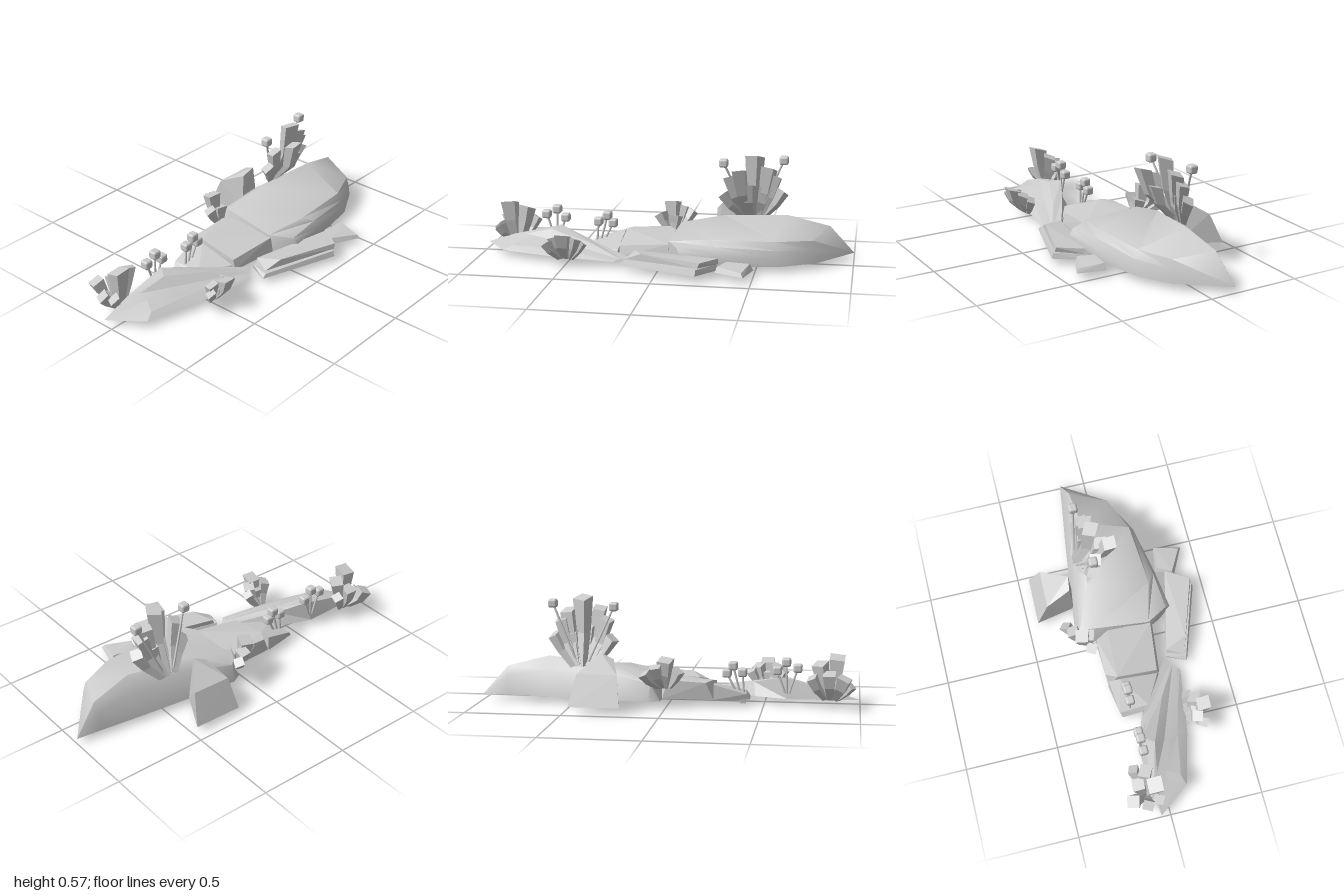
import * as THREE from 'three';
import { toCreasedNormals } from 'three/addons/utils/BufferGeometryUtils.js';
import { ConvexGeometry } from 'three/addons/geometries/ConvexGeometry.js';
import { RoundedBoxGeometry } from 'three/addons/geometries/RoundedBoxGeometry.js';

const V = (p) => new THREE.Vector3(...p);
const smooth = new THREE.MeshStandardMaterial({ color: 0xcccccc, side: THREE.DoubleSide });
const flat = new THREE.MeshStandardMaterial({ color: 0xcccccc, side: THREE.DoubleSide, flatShading: true });

function add(group, name, geometry, material = flat) {
  const mesh = new THREE.Mesh(geometry, material);
  mesh.name = name;
  group.add(mesh);
  return mesh;
}

// Open shell stretched over rails that run from back to front, each along +x.
function shell(rails, crease) {
  const n = rails[0].length, index = [];
  for (let i = 0; i < rails.length - 1; i++) {
    for (let j = 0; j < n - 1; j++) {
      const a = i * n + j, b = a + n;
      index.push(a, b, b + 1, a, b + 1, a + 1);
    }
  }
  const g = new THREE.BufferGeometry();
  g.setAttribute('position', new THREE.Float32BufferAttribute(rails.flat(2), 3));
  g.setIndex(index);
  return toCreasedNormals(g, crease);
}

// Faceted block around a few corners, left open underneath.
function block(points) {
  const g = new ConvexGeometry(points.map(V));
  const pos = g.attributes.position.array, normal = g.attributes.normal.array, kept = [];
  for (let i = 0; i < pos.length; i += 9) {
    if (normal[i + 1] > -0.95) kept.push(...pos.slice(i, i + 9));
  }
  const open = new THREE.BufferGeometry();
  open.setAttribute('position', new THREE.Float32BufferAttribute(kept, 3));
  open.computeVertexNormals();
  return open;
}

// Four-sided crystal that widens upward, bends toward its tip and is cut high at the front.
function crystal(base, tip, w, yaw) {
  const g = new THREE.CylinderGeometry(w, w * 0.5, 1, 4, 2);
  g.rotateY(yaw);
  const a = V(base), b = V(tip), d = b.clone().sub(a);
  const mid = new THREE.Vector3(a.x + d.x * 0.6, a.y + d.y * 0.5, a.z + d.z * 0.75);
  const cut = new THREE.Vector3(d.x, d.y, -0.3 * d.y).normalize();
  const turn = new THREE.Quaternion().setFromUnitVectors(new THREE.Vector3(0, 1, 0), cut);
  const pos = g.attributes.position, p = new THREE.Vector3();
  for (let i = 0; i < pos.count; i++) {
    p.fromBufferAttribute(pos, i);
    const centre = p.y < -0.25 ? a : p.y < 0.25 ? mid : b;
    p.y = 0;
    p.applyQuaternion(turn).add(centre);
    pos.setXYZ(i, p.x, p.y, p.z);
  }
  return g;
}

// Fan of crystals: each tip is [x, y, z, half diagonal].
function cluster(root, name, base, tips) {
  const group = new THREE.Group();
  group.name = name;
  tips.forEach(([x, y, z, w], i) => {
    const foot = [base[0] + (x - base[0]) * 0.3, base[1], base[2] + (z - base[2]) * 0.15];
    add(group, 'crystal', crystal(foot, [x, y, z], w, 0.3 + (i % 3) * 0.22));
  });
  root.add(group);
}

// Thin stalks ending in rounded cube buds.
function buds(root, name, base, tops) {
  const group = new THREE.Group();
  group.name = name;
  const cap = new RoundedBoxGeometry(0.048, 0.046, 0.048, 3, 0.012);
  for (const t of tops) {
    const foot = V([base[0] + (t[0] - base[0]) * 0.2, base[1], base[2]]);
    add(group, 'stalk', new THREE.TubeGeometry(new THREE.LineCurve3(foot, V(t)), 1, 0.006, 6), smooth);
    add(group, 'bud', cap, smooth).position.set(...t);
  }
  root.add(group);
}

export function createModel() {
  const root = new THREE.Group();
  root.name = 'crystalReef';

  // Large domed rock
  add(root, 'mainRock', shell([
    [[0.03, 0.03, -0.23], [0.09, 0.03, -0.26], [0.3, 0.03, -0.235], [0.65, 0.03, -0.19], [0.87, 0.03, -0.157], [1, 0.03, -0.14]],
    [[0.03, 0.03, -0.2], [0.08, 0.12, -0.235], [0.3, 0.17, -0.2], [0.65, 0.17, -0.15], [0.87, 0.13, -0.14], [1, 0.03, -0.14]],
    [[0.03, 0.03, -0.15], [0.06, 0.155, -0.165], [0.3, 0.21, -0.14], [0.65, 0.235, -0.09], [0.87, 0.18, -0.11], [1, 0.03, -0.14]],
    [[0.03, 0.03, 0.14], [0.035, 0.125, 0.14], [0.25, 0.157, 0.195], [0.6, 0.153, 0.17], [0.79, 0.148, 0.09], [1, 0.03, -0.14]],
    [[0.05, 0.03, 0.17], [0.1, 0.12, 0.255], [0.3, 0.13, 0.235], [0.61, 0.11, 0.19], [0.8, 0.1, 0.095], [1, 0.03, -0.14]],
    [[0.07, 0.03, 0.21], [0.11, 0.09, 0.28], [0.34, 0.08, 0.25], [0.62, 0.07, 0.198], [0.805, 0.06, 0.1], [1, 0.03, -0.14]],
    [[0.09, 0.03, 0.23], [0.13, 0.03, 0.265], [0.35, 0.03, 0.25], [0.63, 0.03, 0.2], [0.81, 0.03, 0.1], [1, 0.03, -0.14]],
  ], 0.8), smooth);

  // Long low rock
  add(root, 'lowRock', shell([
    [[-1, 0.03, -0.05], [-0.88, 0.03, -0.07], [-0.62, 0.03, -0.08], [-0.45, 0.03, -0.02], [-0.16, 0.03, 0.18]],
    [[-1, 0.03, -0.05], [-0.85, 0.08, -0.055], [-0.59, 0.14, -0.055], [-0.44, 0.1, 0.02], [-0.16, 0.035, 0.18]],
    [[-1, 0.03, -0.05], [-0.78, 0.09, -0.02], [-0.63, 0.13, 0.005], [-0.38, 0.085, 0.11], [-0.2, 0.035, 0.205]],
    [[-1, 0.03, -0.05], [-0.78, 0.075, 0.03], [-0.62, 0.085, 0.06], [-0.38, 0.06, 0.15], [-0.21, 0.035, 0.215]],
    [[-1, 0.03, -0.05], [-0.82, 0.055, 0.1], [-0.6, 0.06, 0.14], [-0.42, 0.05, 0.19], [-0.23, 0.035, 0.235]],
    [[-1, 0.03, -0.05], [-0.87, 0.03, 0.12], [-0.6, 0.03, 0.195], [-0.42, 0.03, 0.225], [-0.24, 0.03, 0.25]],
  ], 0.2), smooth);

  // Bridge of two stepped blocks
  add(root, 'middleBlock', block([
    [-0.23, 0.125, -0.1], [-0.2, 0.12, -0.16], [0, 0.13, -0.16], [0.04, 0.13, -0.09], [0.04, 0.11, 0.15], [-0.23, 0.085, 0.12],
    [-0.24, 0.03, -0.15], [0.03, 0.03, -0.16], [0.04, 0.03, 0.165], [-0.23, 0.03, 0.135],
  ]));
  add(root, 'lowBlock', block([
    [-0.41, 0.06, -0.13], [-0.24, 0.11, -0.15], [-0.24, 0.11, -0.09], [-0.24, 0.06, 0.12], [-0.4, 0.055, 0.03],
    [-0.43, 0.03, -0.12], [-0.24, 0.03, -0.155], [-0.24, 0.03, 0.135], [-0.42, 0.03, 0.04],
  ]));

  // Layered slabs in front
  add(root, 'upperSlab', block([
    [-0.13, 0.085, 0.2], [0.32, 0.09, 0.305], [0.24, 0.095, 0.43], [-0.08, 0.1, 0.32],
    [-0.14, 0.06, 0.2], [0.32, 0.062, 0.31], [0.23, 0.068, 0.432], [-0.17, 0.06, 0.29],
  ]));
  add(root, 'lowerSlab', block([
    [-0.16, 0.055, 0.2], [0.31, 0.06, 0.31], [0.22, 0.06, 0.435], [-0.18, 0.05, 0.3],
    [-0.15, 0.03, 0.19], [0.32, 0.03, 0.31], [0.22, 0.03, 0.445], [-0.2, 0.03, 0.3],
  ]));
  add(root, 'smallSlab', block([
    [0.32, 0.06, 0.35], [0.36, 0.065, 0.27], [0.48, 0.065, 0.29], [0.45, 0.05, 0.42],
    [0.31, 0.03, 0.36], [0.35, 0.03, 0.26], [0.5, 0.03, 0.285], [0.46, 0.03, 0.435],
  ]));

  // Upright wedge behind the dome
  add(root, 'backRock', block([
    [0.27, 0.25, -0.245], [0.34, 0.28, -0.235], [0.23, 0.19, -0.38], [0.44, 0.19, -0.375],
    [0.21, 0.03, -0.445], [0.475, 0.03, -0.44], [0.25, 0.03, -0.235], [0.36, 0.03, -0.22],
  ]));

  // Crystal fans
  cluster(root, 'tallCrystals', [0.45, 0.2, -0.18], [
    [0.305, 0.34, -0.1, 0.042], [0.335, 0.435, -0.08, 0.044], [0.39, 0.485, 0.01, 0.048], [0.465, 0.55, -0.075, 0.054],
    [0.54, 0.485, -0.09, 0.05], [0.575, 0.44, -0.105, 0.044], [0.61, 0.36, -0.12, 0.042], [0.44, 0.4, -0.03, 0.046], [0.52, 0.37, -0.11, 0.044],
  ]);
  cluster(root, 'middleCrystals', [0.01, 0.1, -0.19], [
    [-0.06, 0.19, -0.2, 0.04], [0, 0.25, -0.24, 0.05], [0.05, 0.22, -0.28, 0.042], [0.1, 0.19, -0.31, 0.036], [0.02, 0.18, -0.2, 0.044],
  ]);
  cluster(root, 'endCrystals', [-0.85, 0.04, -0.09], [
    [-0.95, 0.12, -0.11, 0.04], [-0.92, 0.165, -0.185, 0.046], [-0.88, 0.255, -0.06, 0.056], [-0.79, 0.225, -0.09, 0.048],
    [-0.75, 0.16, -0.145, 0.036], [-0.84, 0.18, -0.14, 0.046], [-0.93, 0.12, -0.05, 0.04],
  ]);
  cluster(root, 'frontCrystals', [-0.5, 0.03, 0.22], [
    [-0.585, 0.125, 0.285, 0.034], [-0.55, 0.15, 0.26, 0.04], [-0.495, 0.173, 0.305, 0.05], [-0.445, 0.15, 0.265, 0.042],
    [-0.41, 0.125, 0.235, 0.034], [-0.5, 0.12, 0.27, 0.042],
  ]);

  // Stalked buds
  buds(root, 'tallBuds', [0.45, 0.22, -0.17], [[0.295, 0.505, -0.1], [0.615, 0.523, -0.135]]);
  buds(root, 'lowRockBuds', [-0.62, 0.06, -0.07], [[-0.675, 0.195, -0.07], [-0.615, 0.225, -0.07], [-0.568, 0.18, -0.07]]);
  buds(root, 'blockBuds', [-0.4, 0, -0.07], [[-0.385, 0.165, -0.07], [-0.335, 0.2, -0.07], [-0.303, 0.16, -0.07]]);
  return root;
}
